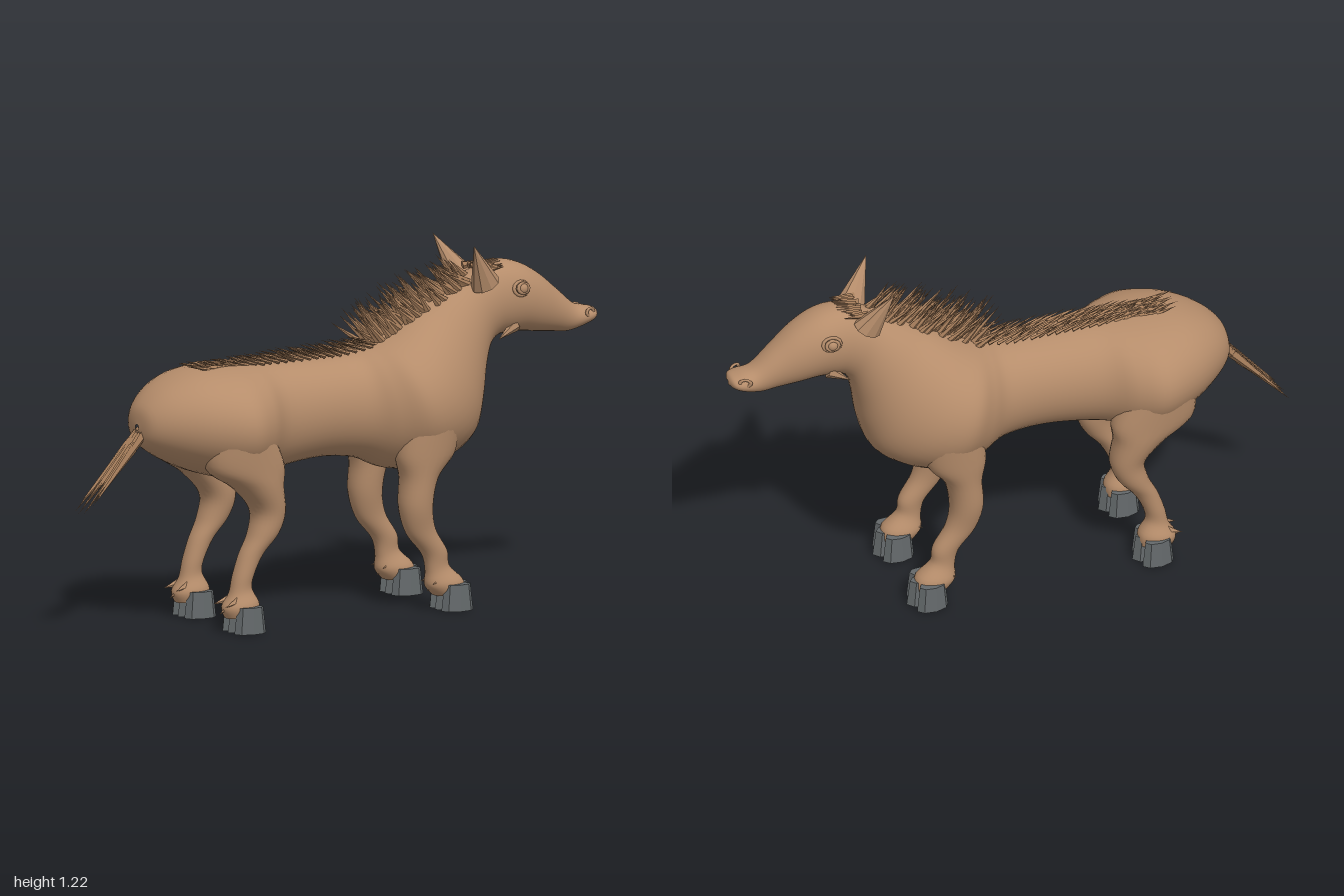
import * as THREE from 'three';
import { mergeGeometries } from 'three/addons/utils/BufferGeometryUtils.js';

const mat = (name, color) => Object.assign(new THREE.MeshStandardMaterial({ color }), { name });
const V = (x, y, z) => new THREE.Vector3(x, y, z);

// Catmull-Rom through the columns of a station table
function resample(st, steps) {
  const out = [], n = st.length;
  for (let i = 0; i < n - 1; i++) {
    const [a, b, c, d] = [st[Math.max(i - 1, 0)], st[i], st[i + 1], st[Math.min(i + 2, n - 1)]];
    for (let s = 0; s < steps; s++) {
      const t = s / steps;
      out.push(b.map((p, k) => {
        const cubic = 3 * (p - c[k]) + d[k] - a[k];
        const square = 2 * a[k] - 5 * p + 4 * c[k] - d[k];
        return p + 0.5 * t * (c[k] - a[k] + t * (square + t * cubic));
      }));
    }
  }
  out.push(st[n - 1]);
  return out;
}

// Skin over oval sections; station = [x, y of one edge, x, y of opposite edge, half width, centre z]
function loft(stations, sides = 32, steps = 5) {
  const rings = resample(stations, steps), pos = [], idx = [];
  for (const [ax, ay, bx, by, w, z] of rings) {
    for (let j = 0; j < sides; j++) {
      const a = (j / sides) * Math.PI * 2, c = Math.cos(a), s = Math.sin(a);
      const wide = Math.sign(s) * Math.pow(Math.abs(s), 0.9);
      pos.push((ax + bx) / 2 + (c * (ax - bx)) / 2, (ay + by) / 2 + (c * (ay - by)) / 2, z + wide * w);
    }
  }
  for (let i = 0; i < rings.length - 1; i++) {
    for (let j = 0; j < sides; j++) {
      const k = (j + 1) % sides, a = i * sides + j, b = i * sides + k;
      idx.push(a, b, a + sides, b, b + sides, a + sides);
    }
  }
  const g = new THREE.BufferGeometry();
  g.setAttribute('position', new THREE.Float32BufferAttribute(pos, 3));
  g.setIndex(idx);
  g.computeVertexNormals();
  return g;
}

function faceted(g) {
  const f = g.toNonIndexed();
  f.computeVertexNormals();
  return f;
}

// Pointed lock of hair from root to tip
function strand(from, to, thick, wide, sides = 4) {
  const dir = to.clone().sub(from), len = dir.length();
  const q = new THREE.Quaternion().setFromUnitVectors(V(0, 1, 0), dir.normalize());
  const m = new THREE.Matrix4().compose(from.clone().add(to).multiplyScalar(0.5), q, V(thick, len, wide));
  return faceted(new THREE.ConeGeometry(1, 1, sides).applyMatrix4(m));
}

export function createModel() {
  const group = new THREE.Group();
  const coat = mat('coat', 0xb68d6b), hair = mat('hair', 0xa47c5a), horn = mat('hoof grey', 0x64696b);
  let seed = 7;
  const rnd = (a, b) => {
    seed = (seed * 16807) % 2147483647;
    return a + ((b - a) * seed) / 2147483647;
  };
  const add = (name, geo, material) => {
    const m = new THREE.Mesh(geo, material);
    m.name = name;
    group.add(m);
    return m;
  };

  // Rump, trunk, chest, neck and head in one skin
  const bodyStations = [
    [-0.78, 0.71, -0.78, 0.69, 0.01], [-0.765, 0.77, -0.765, 0.64, 0.085], [-0.7, 0.83, -0.7, 0.59, 0.165],
    [-0.6, 0.872, -0.6, 0.54, 0.24], [-0.48, 0.885, -0.48, 0.505, 0.286], [-0.38, 0.882, -0.39, 0.5, 0.25],
    [-0.28, 0.875, -0.28, 0.515, 0.18], [-0.1, 0.87, -0.1, 0.535, 0.16], [0.03, 0.873, 0.05, 0.52, 0.165],
    [0.09, 0.89, 0.16, 0.475, 0.215], [0.14, 0.91, 0.28, 0.468, 0.265], [0.2, 0.94, 0.4, 0.5, 0.255],
    [0.27, 0.98, 0.49, 0.56, 0.21], [0.33, 1.012, 0.53, 0.66, 0.165], [0.4, 1.05, 0.55, 0.77, 0.13],
    [0.46, 1.08, 0.575, 0.85, 0.107], [0.52, 1.11, 0.61, 0.882, 0.1], [0.6, 1.138, 0.65, 0.886, 0.1],
    [0.68, 1.13, 0.7, 0.888, 0.1], [0.76, 1.09, 0.76, 0.88, 0.088], [0.84, 1.025, 0.83, 0.873, 0.068],
    [0.91, 0.965, 0.89, 0.868, 0.056], [0.96, 0.95, 0.95, 0.885, 0.06], [0.99, 0.942, 0.985, 0.9, 0.045],
    [1, 0.926, 1, 0.914, 0.008],
  ];
  add('bodyAndHead', loft(bodyStations.map((s) => [...s, 0]), 40), coat);

  const foreLeg = [
    [0.36, 0.64, 0.16, 0.64, 0.08, 0.175], [0.35, 0.54, 0.14, 0.54, 0.08, 0.165], [0.285, 0.46, 0.155, 0.46, 0.07, 0.165],
    [0.265, 0.36, 0.15, 0.36, 0.06, 0.167], [0.28, 0.28, 0.175, 0.27, 0.045, 0.166], [0.325, 0.205, 0.235, 0.195, 0.039, 0.165],
    [0.335, 0.15, 0.25, 0.135, 0.037, 0.165], [0.385, 0.1, 0.25, 0.085, 0.056, 0.165], [0.39, 0.06, 0.28, 0.05, 0.05, 0.165],
  ];
  const hindLeg = [
    [-0.36, 0.66, -0.6, 0.66, 0.09, 0.18], [-0.315, 0.56, -0.6, 0.56, 0.09, 0.17], [-0.32, 0.49, -0.5, 0.49, 0.08, 0.17],
    [-0.31, 0.4, -0.43, 0.41, 0.066, 0.165], [-0.335, 0.33, -0.44, 0.33, 0.056, 0.167], [-0.39, 0.265, -0.475, 0.26, 0.043, 0.165],
    [-0.425, 0.2, -0.5, 0.19, 0.038, 0.165], [-0.435, 0.15, -0.515, 0.13, 0.037, 0.165], [-0.41, 0.1, -0.54, 0.085, 0.056, 0.165],
    [-0.41, 0.06, -0.53, 0.05, 0.05, 0.165],
  ];

  for (const side of [1, -1]) {
    const sideName = side > 0 ? 'Left' : 'Right';
    for (const [name, table, hx] of [['fore', foreLeg, 0.352], ['hind', hindLeg, -0.455]]) {
      add(name + 'Leg' + sideName, loft(table.map((s) => [...s.slice(0, 5), s[5] * side]), 24), coat);

      // Three-lobed hoof
      const lobes = [-1, 0, 1].map((k) => {
        const lobe = new THREE.CylinderGeometry(0.82, 1, 0.09, 8);
        lobe.scale(k ? 0.058 : 0.068, 1, k ? 0.032 : 0.034).rotateY(-k * 0.12);
        return faceted(lobe.translate(hx - Math.abs(k) * 0.008, 0.045, side * 0.165 + k * 0.046));
      });
      add(name + 'Hoof' + sideName, mergeGeometries(lobes), horn);

      // Fetlock tuft
      const tuft = [-0.03, 0, 0.03].map((dz) => strand(
        V(hx - 0.03, 0.115, side * 0.165 + dz * 0.7), V(hx - 0.1, 0.065 + Math.abs(dz), side * 0.165 + dz * 1.3), 0.02, 0.016));
      add(name + 'Tuft' + sideName, mergeGeometries(tuft), coat);
    }

    // Ear
    add('ear' + sideName, strand(V(0.53, 1.075, side * 0.08), V(0.453, 1.222, side * 0.136), 0.052, 0.042, 9), coat);

    // Eye with rolled lids
    const eye = new THREE.Group();
    eye.name = 'eye' + sideName;
    const ball = new THREE.Mesh(new THREE.SphereGeometry(0.021, 14, 10), coat);
    ball.name = 'eyeball';
    eye.add(ball);
    for (const [r, z] of [[0.03, -0.004], [0.021, 0.008]]) {
      const lid = new THREE.Mesh(new THREE.TorusGeometry(r, 0.007, 6, 12), coat);
      lid.name = 'eyelid';
      lid.position.z = z * side;
      lid.scale.y = 0.8;
      eye.add(lid);
    }
    eye.position.set(0.662, 1.05, side * 0.1);
    eye.rotation.set(-side * 0.2, side * 0.1, 0);
    group.add(eye);

    // Nostril
    const nostril = add('nostril' + sideName, new THREE.TorusGeometry(0.013, 0.005, 6, 12), coat);
    nostril.position.set(0.955, 0.933, side * 0.053);
    nostril.rotation.y = side * 0.4;
    nostril.scale.x = 1.4;

    // Jaw corner
    add('jaw' + sideName, strand(V(0.66, 0.92, side * 0.06), V(0.585, 0.878, side * 0.076), 0.025, 0.02, 6), coat);
  }

  // Mane swept up and back from the crest
  const mane = [];
  for (let i = 0; i < 130; i++) {
    const t = i / 129, x = 0.14 + t * 0.37, z = rnd(-0.055, 0.055);
    const y = 0.9 + t * 0.185 - Math.abs(z) * 0.3;
    const tip = V(x - rnd(0.07, 0.13), y + rnd(0.06, 0.15 - 0.05 * t), z * 1.2);
    mane.push(strand(V(x, y, z), tip, 0.013, 0.007));
  }
  add('mane', mergeGeometries(mane), hair);

  // Forelock between the ears
  const forelock = [];
  for (let i = 0; i < 14; i++) {
    const z = -0.065 + i * 0.01;
    const tip = V(rnd(0.59, 0.63), 1.145 - Math.abs(z) * 0.3, z * 1.1);
    forelock.push(strand(V(rnd(0.52, 0.55), 1.115, z), tip, 0.014, 0.008));
  }
  add('forelock', mergeGeometries(forelock), hair);

  // Low rows of hair along the spine
  const spine = [];
  for (let row = -2; row <= 2; row++) {
    for (let x = -0.52; x < 0.16; x += 0.03) {
      const z = row * 0.021 + rnd(-0.004, 0.004), lift = 0.892 + 0.026 * ((x + 0.6) / 0.7);
      const tip = V(x - rnd(0.07, 0.1), lift + rnd(-0.004, 0.004), z);
      spine.push(strand(V(x, 0.878 + Math.max(0, x) * 0.15, z), tip, 0.007, 0.007));
    }
  }
  add('spineHair', mergeGeometries(spine), hair);

  // Tail of layered locks with ragged ends
  const tail = [];
  for (let i = 0; i < 26; i++) {
    const z = rnd(-0.03, 0.03), start = rnd(0, 0.5), end = i < 3 ? 1 : rnd(0.7, 0.98);
    const root = V(-0.755 - 0.15 * start, 0.69 - 0.17 * start, z * 0.8);
    const tip = V(-0.75 - 0.25 * end, 0.69 - 0.27 * end + rnd(0, 0.015), z * 1.5);
    tail.push(strand(root, tip, 0.017, 0.011));
  }
  add('tail', mergeGeometries(tail), hair);

  return group;
}
